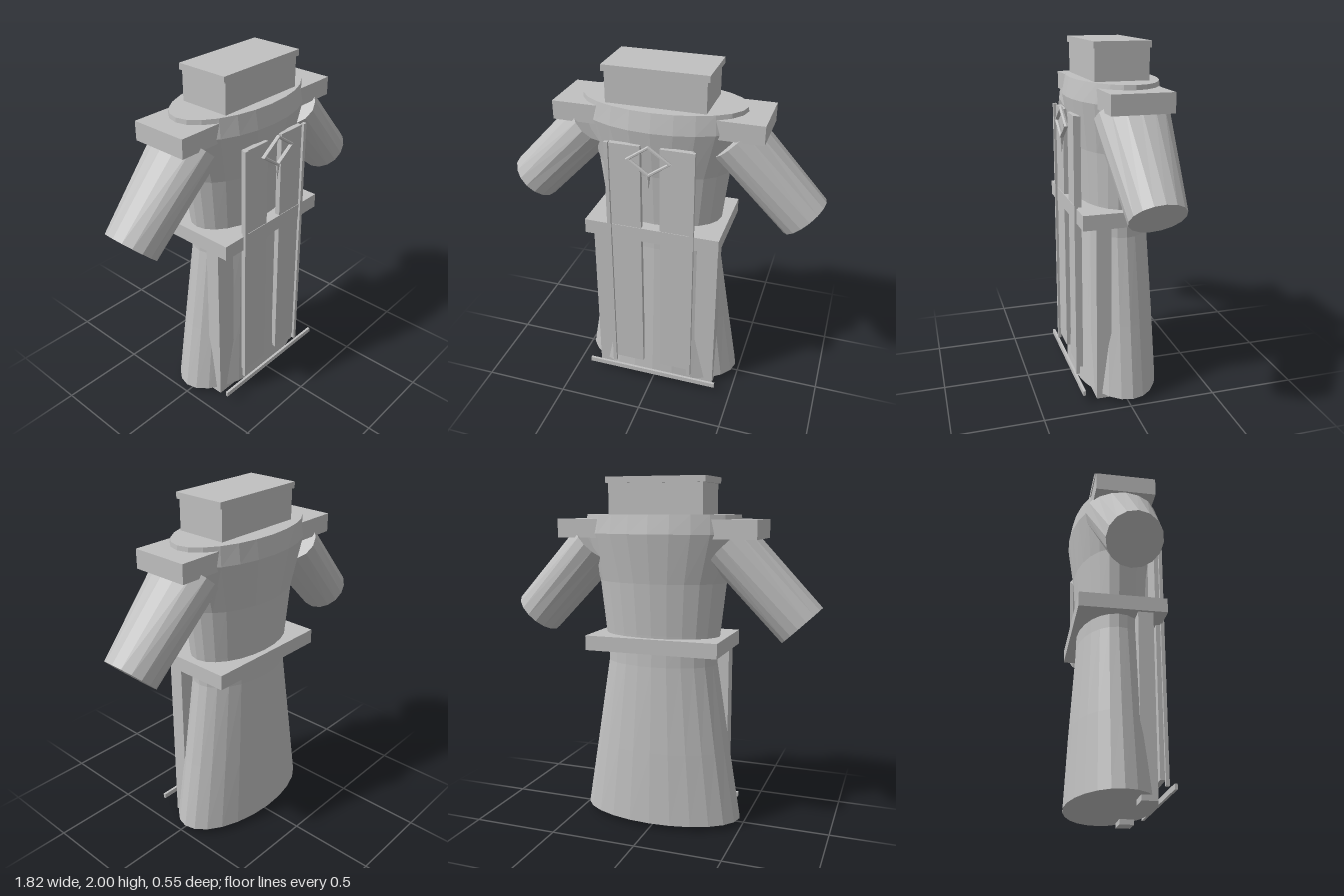
import * as THREE from 'three';

const grey = new THREE.MeshStandardMaterial({ color: 0xc0c0c0, flatShading: true });
grey.name = 'plain grey';

// Stack of elliptical rings [y, halfWidth, halfDepth, centreZ], bottom to top, capped at both ends
function loft(rings, sides) {
  const pos = [], index = [];
  for (const [y, rx, rz, cz] of rings) {
    for (let i = 0; i < sides; i++) {
      const a = (i / sides) * Math.PI * 2;
      pos.push(Math.sin(a) * rx, y, Math.cos(a) * rz + cz);
    }
  }
  for (let r = 0; r < rings.length - 1; r++) {
    for (let i = 0; i < sides; i++) {
      const j = (i + 1) % sides, a = r * sides + i, b = r * sides + j;
      index.push(a, b, b + sides, a, b + sides, a + sides);
    }
  }
  const top = (rings.length - 1) * sides;
  for (let i = 1; i < sides - 1; i++) {
    index.push(0, i + 1, i, top, top + i, top + i + 1);
  }
  const geo = new THREE.BufferGeometry();
  geo.setAttribute('position', new THREE.Float32BufferAttribute(pos, 3));
  geo.setIndex(index);
  const flat = geo.toNonIndexed();
  flat.computeVertexNormals();
  return flat;
}

export function createModel() {
  const group = new THREE.Group();

  const add = (name, geo) => {
    const mesh = new THREE.Mesh(geo, grey);
    mesh.name = name;
    group.add(mesh);
    return mesh;
  };
  // Box given by its limits on each axis
  const box = (name, x0, x1, y0, y1, z0, z1) =>
    add(name, new THREE.BoxGeometry(x1 - x0, y1 - y0, z1 - z0))
      .position.set((x0 + x1) / 2, (y0 + y1) / 2, (z0 + z1) / 2);

  // Body: flared skirt and broad chest
  add('skirt', loft([
    [0.03, 0.48, 0.247, -0.018],
    [0.45, 0.41, 0.225, -0.02],
    [0.95, 0.33, 0.195, -0.02],
    [1.08, 0.33, 0.193, -0.02],
  ], 24));
  add('torso', loft([
    [1.05, 0.335, 0.193, -0.02],
    [1.13, 0.345, 0.197, -0.02],
    [1.42, 0.378, 0.217, -0.021],
    [1.69, 0.466, 0.255, -0.02],
    [1.795, 0.457, 0.235, -0.022],
  ], 24));

  box('belt', -0.39, 0.39, 1.03, 1.115, -0.25, 0.243);
  box('neck', -0.275, 0.275, 1.78, 1.97, -0.155, 0.145);
  box('neckCap', -0.29, 0.29, 1.965, 2.0, -0.16, 0.152);
  box('hemBar', -0.405, 0.405, 0.053, 0.082, 0.24, 0.255);

  for (const [side, s] of [['left', 1], ['right', -1]]) {
    const sideBox = (name, x0, x1, ...rest) =>
      box(side + name, Math.min(s * x0, s * x1), Math.max(s * x0, s * x1), ...rest);

    sideBox('Leg', 0.25, 0.372, 0, 1.06, 0.08, 0.165);
    sideBox('ShoulderPad', 0.3, 0.58, 1.665, 1.77, -0.187, 0.148);
    sideBox('FrontStrip', 0.055, 0.23, 0.14, 1.613, 0.21, 0.24);
    sideBox('StripTrim', 0.228, 0.25, 0.107, 1.62, 0.235, 0.255);

    // Sleeve: tapered tube, deeper than wide at the shoulder
    const from = new THREE.Vector2(0.805, 1.203), to = new THREE.Vector2(0.4, 1.628);
    const length = from.distanceTo(to);
    const sleeve = add(side + 'Sleeve', loft([
      [-length / 2, 0.147, 0.148, 0],
      [length / 2, 0.15, 0.203, 0],
    ], 16));
    sleeve.position.set(s * (from.x + to.x) / 2, (from.y + to.y) / 2, -0.02);
    sleeve.rotation.z = s * Math.atan2(from.x - to.x, to.y - from.y);
  }

  // Diamond ornament with a small pendant on the chest
  const diamond = new THREE.TorusGeometry(0.115, 0.015, 6, 4);
  diamond.scale(1, 0.7, 0.8);
  add('chestDiamond', diamond).position.set(0, 1.545, 0.262);
  const pendant = new THREE.ConeGeometry(0.012, 0.09, 6);
  pendant.rotateX(Math.PI);
  add('chestPendant', pendant).position.set(0, 1.42, 0.262);

  return group;
}
